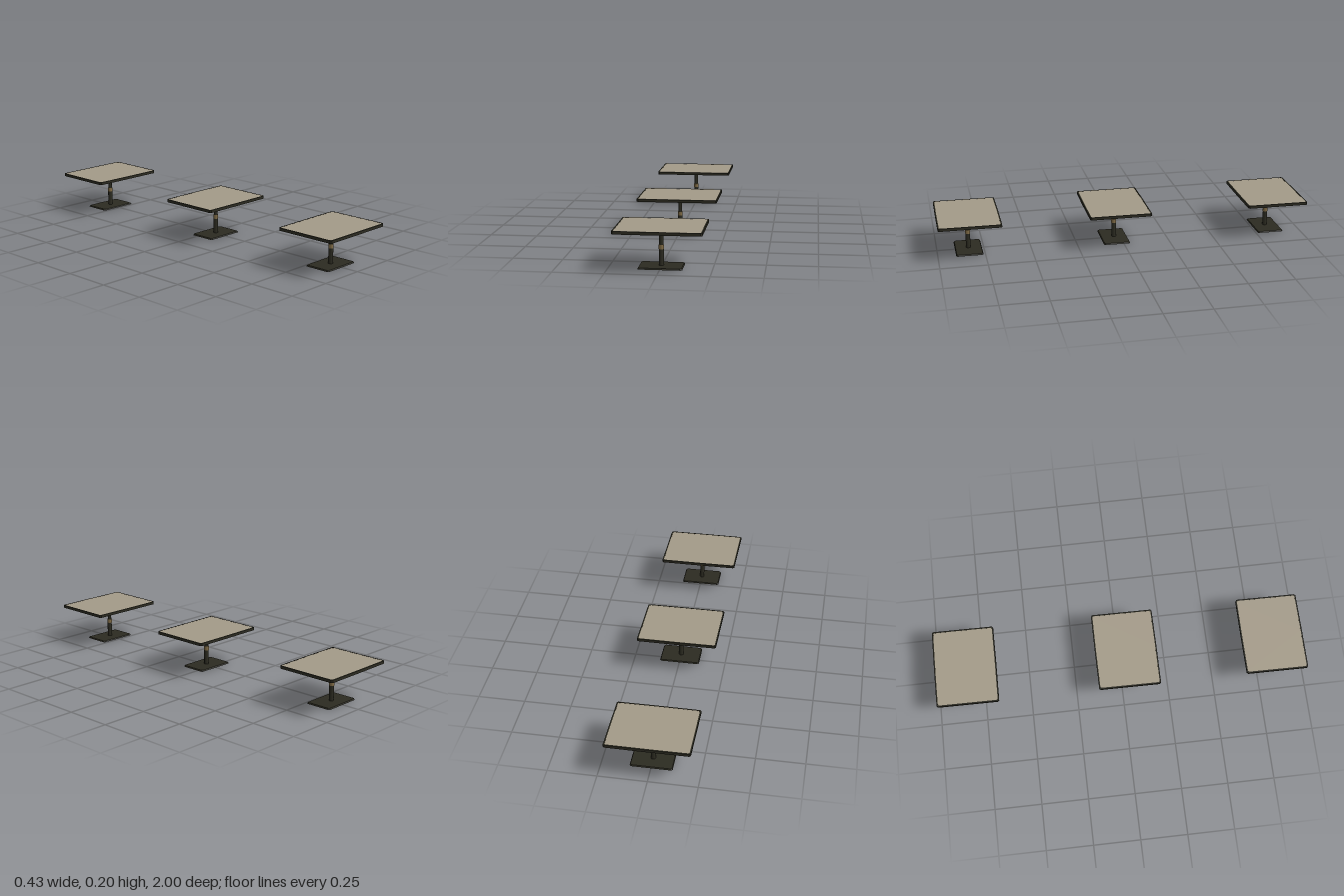
import * as THREE from 'three';

const makeMaterial = (name, color) => {
  const m = new THREE.MeshStandardMaterial({ color });
  m.name = name;
  return m;
};

// Slightly hand-cut outline: clipped corners and gently bowed long edges
function outlinePoints(hw, hd, cut, bow, skew) {
  return [
    [-hw, -hd + cut], [-hw + cut, -hd], [0, -hd - bow], [hw - cut - skew, -hd], [hw - skew, -hd + cut],
    [hw, hd - cut], [hw - cut, hd], [0, hd + bow], [-hw + cut + skew, hd], [-hw + skew, hd - cut],
  ].map(([x, y]) => new THREE.Vector2(x, y));
}

// Horizontal slab from y0 to y1
function slab(shape, y0, y1) {
  const g = new THREE.ExtrudeGeometry(shape, { depth: y1 - y0, bevelEnabled: false });
  return g.rotateX(-Math.PI / 2).translate(0, y0, 0);
}

export function createModel() {
  const dark = makeMaterial('dark metal', 0x2c2b21);
  const stone = makeMaterial('warm grey top', 0xa39a88);
  const bronze = makeMaterial('bronze', 0x826d47);

  // Tabletop panel set in a dark rim
  const inner = outlinePoints(0.208, 0.159, 0.006, 0.001, 0.003);
  const rimShape = new THREE.Shape(outlinePoints(0.215, 0.166, 0.007, 0.001, 0.003));
  rimShape.holes.push(new THREE.Path(inner));
  const rimGeo = slab(rimShape, 0.189, 0.204);
  const panelGeo = slab(new THREE.Shape(inner), 0.1895, 0.2036);

  // Foot plate with a sloped upper edge
  const footGeo = slab(new THREE.Shape(outlinePoints(0.108, 0.072, 0.007, 0, 0)), 0, 0.007);
  const p = footGeo.attributes.position;
  for (let i = 0; i < p.count; i++) {
    if (p.getY(i) > 0.005) p.setXYZ(i, p.getX(i) * 0.965, p.getY(i), p.getZ(i) * 0.95);
  }
  footGeo.computeVertexNormals();

  const tube = (r, y0, y1) =>
    new THREE.CylinderGeometry(r, r, y1 - y0, 16).translate(0, (y0 + y1) / 2, 0);
  const parts = [
    ['tabletopRim', rimGeo, dark],
    ['tabletopPanel', panelGeo, stone],
    ['footPlate', footGeo, dark],
    ['lowerPost', tube(0.0123, 0.006, 0.088), dark],
    ['postCollar', tube(0.013, 0.087, 0.108), bronze],
    ['upperPost', tube(0.0103, 0.107, 0.191), dark],
  ];

  // Three matching tables in a row
  const model = new THREE.Group();
  model.name = 'tables';
  [['frontTable', 0.832], ['middleTable', 0.036], ['backTable', -0.832]].forEach(([name, z]) => {
    const table = new THREE.Group();
    table.name = name;
    table.position.z = z;
    for (const [part, geo, mat] of parts) {
      const mesh = new THREE.Mesh(geo, mat);
      mesh.name = part;
      table.add(mesh);
    }
    model.add(table);
  });
  return model;
}
